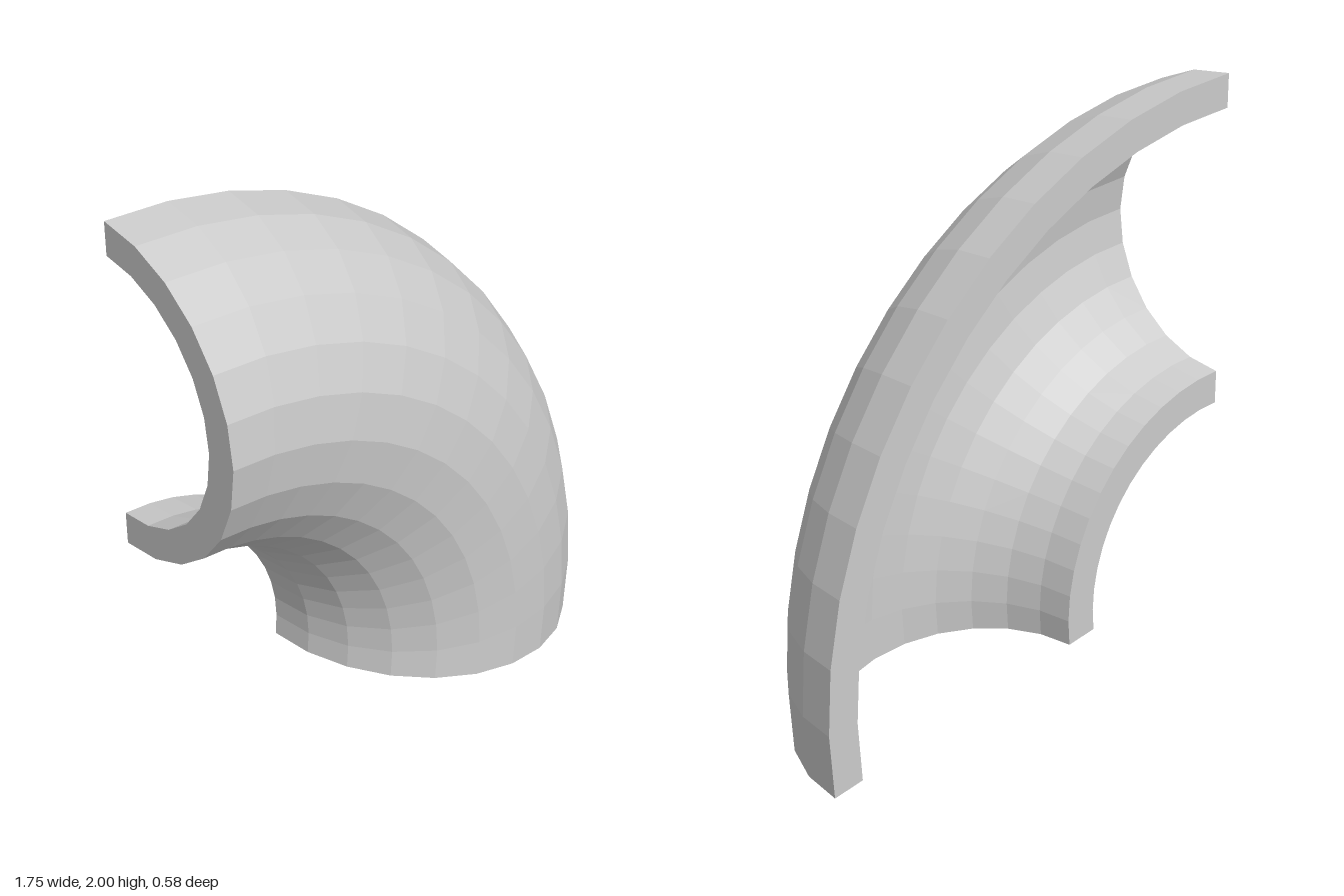
import * as THREE from 'three';

const BEND = 1.167;                              // bend radius at the pipe centreline
const OUTER = 0.5835, INNER = 0.8 * OUTER;       // pipe radii
const SWEEP = THREE.MathUtils.degToRad(98.2);
const BEND_STEPS = 13, ARC_STEPS = 12;

// Half-ring cross-section, counter-clockwise: outer arc, then inner arc back
function halfRing() {
  const points = [];
  const arc = (radius, from, to) => {
    for (let i = 0; i <= ARC_STEPS; i++) {
      const t = from + (to - from) * i / ARC_STEPS;
      points.push(new THREE.Vector2(BEND + radius * Math.cos(t), radius * Math.sin(t)));
    }
  };
  arc(OUTER, Math.PI, 2 * Math.PI);
  arc(INNER, 2 * Math.PI, Math.PI);
  return points;
}

export function createModel() {
  const group = new THREE.Group();
  group.name = 'halfPipeElbow';
  const profile = halfRing();
  const wallMaterial = new THREE.MeshStandardMaterial({ color: 0xcccccc, flatShading: true });
  const endMaterial = new THREE.MeshStandardMaterial({
    color: 0xcccccc, flatShading: true, side: THREE.DoubleSide,
  });

  // Inner and outer wall with the flat back rims
  const wall = new THREE.Mesh(
    new THREE.LatheGeometry([...profile, profile[0].clone()], BEND_STEPS, 0, SWEEP), wallMaterial);
  wall.name = 'pipeWall';
  group.add(wall);

  // Flat end faces
  for (const [name, angle] of [['upperEnd', 0], ['lowerEnd', SWEEP]]) {
    const end = new THREE.Mesh(new THREE.ShapeGeometry(new THREE.Shape(profile)), endMaterial);
    end.geometry.rotateY(angle - Math.PI / 2);
    end.name = name;
    group.add(end);
  }

  // Stand the bend upright, open side to the back
  for (const mesh of group.children) {
    mesh.geometry.rotateX(-Math.PI / 2);
    mesh.geometry.translate(-0.875, 0.25, -OUTER / 2);
  }
  return group;
}
